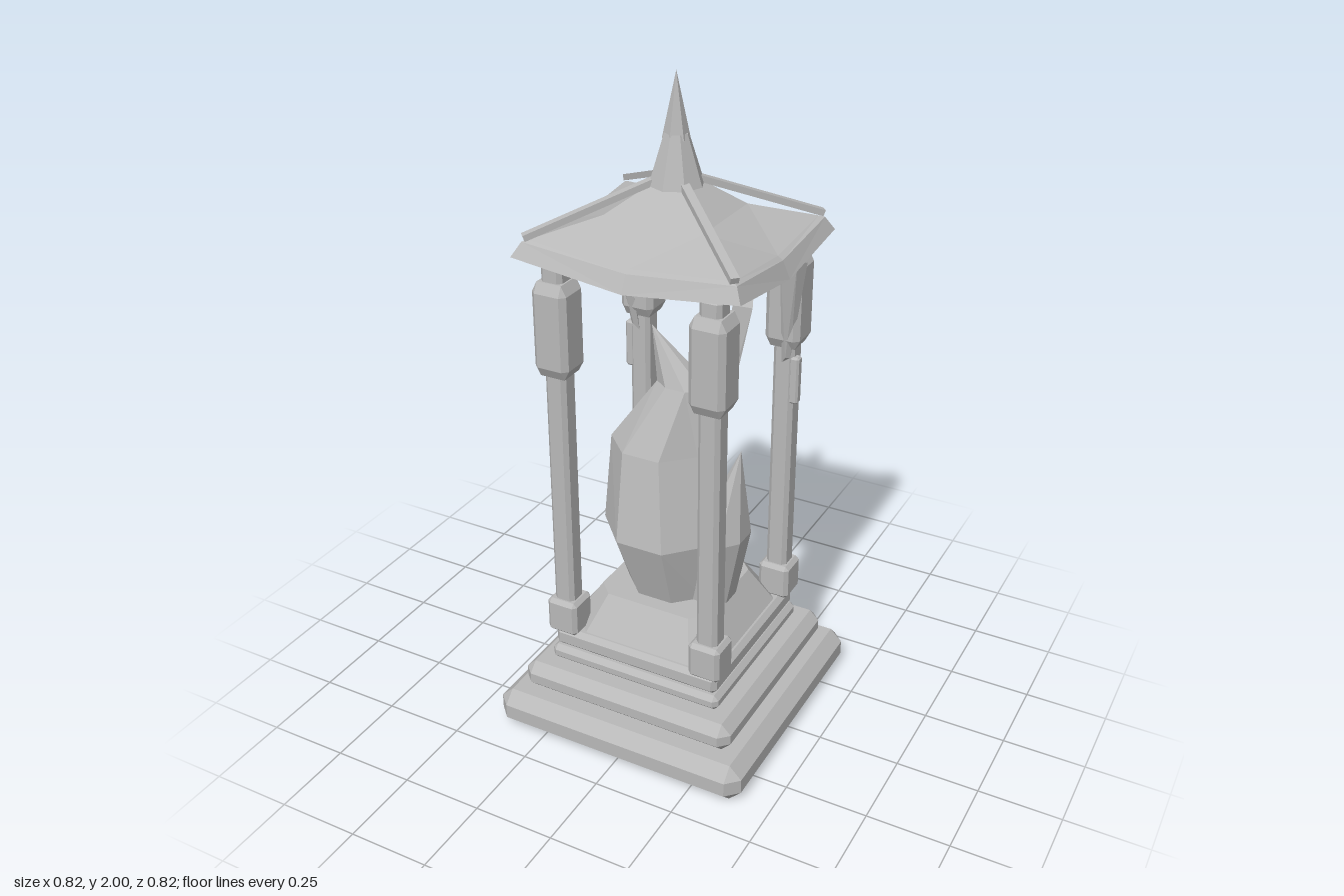
import * as THREE from 'three';
import { ConvexGeometry } from 'three/addons/geometries/ConvexGeometry.js';

const V = (x, y, z) => new THREE.Vector3(x, y, z);

// Box with all edges chamfered; cy is the chamfer along y
function chamferBox(w, h, d, c, cy = c) {
  const pts = [];
  for (const sx of [-1, 1]) for (const sy of [-1, 1]) for (const sz of [-1, 1]) {
    const x = w / 2, y = h / 2, z = d / 2;
    pts.push(V(sx * (x - c), sy * (y - cy), sz * z), V(sx * x, sy * (y - cy), sz * (z - c)),
      V(sx * (x - c), sy * y, sz * (z - c)));
  }
  return new ConvexGeometry(pts);
}

// Skin rings of equal length, listed bottom to top, counter-clockwise from above
function loft(rings) {
  const pos = [];
  const tri = (a, b, c) => {
    if (a.distanceTo(b) < 1e-6 || b.distanceTo(c) < 1e-6 || a.distanceTo(c) < 1e-6) return;
    for (const p of [a, b, c]) pos.push(p.x, p.y, p.z);
  };
  for (let k = 0; k + 1 < rings.length; k++) {
    const a = rings[k], b = rings[k + 1], n = a.length;
    for (let i = 0; i < n; i++) {
      const j = (i + 1) % n;
      if (i % 2 === 0) { tri(a[i], a[j], b[i]); tri(a[j], b[j], b[i]); }
      else { tri(a[i], a[j], b[j]); tri(a[i], b[j], b[i]); }
    }
  }
  const g = new THREE.BufferGeometry();
  g.setAttribute('position', new THREE.Float32BufferAttribute(pos, 3));
  g.computeVertexNormals();
  return g;
}

// Octagonal ring
const octagon = (x, y, z, rx, rz) => Array.from({ length: 8 }, (_, i) => {
  const a = (i + 0.5) * Math.PI / 4;
  return V(x + rx * Math.cos(a) / 0.924, y, z - rz * Math.sin(a) / 0.924);
});

// Rectangle ring of corners and edge midpoints with separate heights
const rectRing = (hx, hz, yCorner, yMid) => [
  V(hx, yCorner, -hz), V(0, yMid, -hz), V(-hx, yCorner, -hz), V(-hx, yMid, 0),
  V(-hx, yCorner, hz), V(0, yMid, hz), V(hx, yCorner, hz), V(hx, yMid, 0)];

// Square ring with cut corners
const cutSquare = (h, c, y) => [
  V(h, y, c), V(h, y, -c), V(c, y, -h), V(-c, y, -h),
  V(-h, y, -c), V(-h, y, c), V(-c, y, h), V(c, y, h)];

export function createModel() {
  const stone = new THREE.MeshStandardMaterial({ color: 0xb8b8b8 });
  stone.name = 'grey stone';
  stone.flatShading = true;
  const model = new THREE.Group();
  model.name = 'crystalShrine';
  const add = (name, geo, x = 0, y = 0, z = 0) => {
    const m = new THREE.Mesh(geo, stone);
    m.name = name;
    m.position.set(x, y, z);
    model.add(m);
    return m;
  };

  // Stepped base: half width, bottom, top, chamfer
  [[0.41, 0, 0.122, 0.038], [0.348, 0.122, 0.213, 0.03], [0.282, 0.213, 0.262, 0.015], [0.272, 0.262, 0.325, 0.015]]
    .forEach(([h, y0, y1, c], i) =>
      add('baseTier' + (i + 1), chamferBox(h * 2, y1 - y0, h * 2, c), 0, (y0 + y1) / 2, 0));

  // Rocky mound under the crystals
  add('mound', loft([cutSquare(0, 0, 0.31), cutSquare(0.26, 0.18, 0.31), cutSquare(0.18, 0.135, 0.435), cutSquare(0, 0, 0.435)]));

  // Crystals: rows of x, y, z, rx, rz
  const crystal = (name, rows) => add(name, loft(rows.map(r => octagon(...r))));
  crystal('mainCrystal', [
    [0, 0.42, 0, 0, 0], [0, 0.42, 0, 0.13, 0.13], [-0.02, 0.64, 0, 0.18, 0.195],
    [-0.042, 0.91, 0, 0.143, 0.14], [0.025, 1.105, 0, 0.075, 0.055], [-0.078, 1.265, 0, 0, 0]]);
  crystal('sideCrystal', [
    [0.12, 0.42, 0.005, 0, 0], [0.12, 0.42, 0.005, 0.07, 0.08],
    [0.16, 0.65, 0.01, 0.075, 0.092], [0.21, 0.93, 0, 0, 0]]);
  crystal('backCrystal', [
    [-0.05, 0.42, -0.13, 0, 0], [-0.05, 0.42, -0.13, 0.07, 0.07],
    [-0.06, 0.7, -0.13, 0.08, 0.07], [-0.05, 0.92, -0.14, 0, 0]]);

  // Four columns with foot, shaft, block and leaning shard
  for (const sx of [-1, 1]) for (const sz of [-1, 1]) {
    const x = sx * 0.238, z = sz * 0.238;
    add('columnFoot', chamferBox(0.1, 0.115, 0.1, 0.012), x, 0.378, z);
    add('columnShaft', chamferBox(0.066, 1.1, 0.066, 0.012), x, 0.96, z);
    add('columnBlock', chamferBox(0.108, 0.28, 0.108, 0.016, 0.03), x, 1.32, z);
    const shard = [
      [0.235, 1.13, 0.205], [0.262, 1.15, 0.205], [0.25, 1.15, 0.195], [0.25, 1.15, 0.215],
      [0.25, 1.47, 0.135], [0.3, 1.475, 0.14], [0.315, 1.465, 0.175], [0.265, 1.47, 0.19]];
    add('columnShard', new ConvexGeometry(shard.map(p => V(sx * p[0], p[1], sz * p[2]))));
    if (sz < 0) add('columnChip', chamferBox(0.03, 0.15, 0.03, 0.006), sx * 0.272, 1.075, -0.222);

    // Ridge bar above each roof corner
    const from = V(sx * 0.312, 1.578, sz * 0.277), to = V(sx * 0.045, 1.708, sz * 0.04);
    const bar = add('ridgeBar', new THREE.BoxGeometry(0.024, 0.018, from.distanceTo(to)));
    bar.position.copy(from).lerp(to, 0.5);
    bar.lookAt(to);
  }

  // Roof with sagging eaves
  add('roof', loft([
    rectRing(0, 0, 1.485, 1.485), rectRing(0.34, 0.3, 1.525, 1.485), rectRing(0.318, 0.277, 1.565, 1.535),
    rectRing(0.303, 0.266, 1.57, 1.545), rectRing(0.15, 0.13, 1.622, 1.622), rectRing(0.05, 0.045, 1.7, 1.7),
    rectRing(0, 0, 1.7, 1.7)]));

  // Spire
  add('spireBase', new THREE.CylinderGeometry(0.034, 0.078, 0.14, 8), 0, 1.765, 0);
  add('spireTip', new THREE.ConeGeometry(0.038, 0.18, 6), 0, 1.91, 0);
  return model;
}
